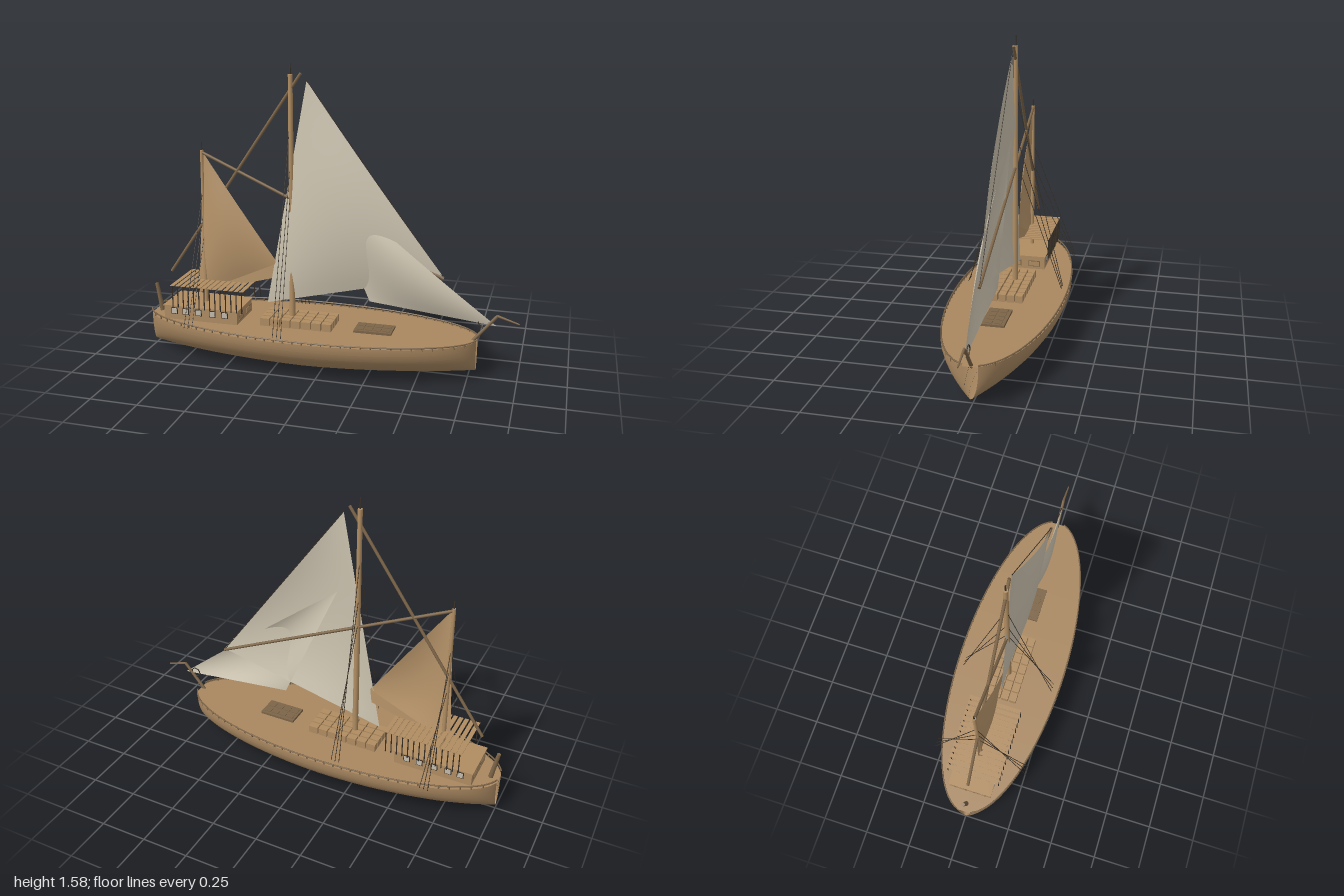
import * as THREE from 'three';

const mat = (name, color, side = THREE.FrontSide) => {
  const m = new THREE.MeshStandardMaterial({ color, side });
  m.name = name;
  return m;
};
const V = (x, y, z = 0) => new THREE.Vector3(x, y, z);

// Hull lines: s runs from -1 at the stern to 1 at the bow
const CX = -0.105, HALF = 0.895;
const hullX = s => CX + HALF * s;
const halfWidth = s => 0.305 * Math.sqrt(1 - 0.985 * s * s);
const sheerY = s => 0.21 + 0.006 * s;
const keelY = s => 0.004 + (s < 0 ? 0.026 : 0.042) * Math.pow(Math.abs(s), 1.4);

// Smooth surface from a grid of points, p(u, v) with u and v from 0 to 1
function surface(nu, nv, p) {
  const pos = [], index = [];
  for (let i = 0; i <= nu; i++)
    for (let j = 0; j <= nv; j++) {
      pos.push(...p(i / nu, j / nv).toArray());
      if (i < nu && j < nv) {
        const a = i * (nv + 1) + j, b = a + nv + 1;
        index.push(a, b, a + 1, b, b + 1, a + 1);
      }
    }
  const g = new THREE.BufferGeometry();
  g.setAttribute('position', new THREE.Float32BufferAttribute(pos, 3));
  g.setIndex(index);
  g.computeVertexNormals();
  return g;
}

// Triangular sail that bellies towards +z; its a-b edge may belly too
function sailGeometry(a, b, c, belly, edgeBelly) {
  return surface(20, 20, (u, v) => {
    const wa = 1 - u, wb = u * (1 - v), wc = u * v;
    const p = V(0, 0).addScaledVector(a, wa).addScaledVector(b, wb).addScaledVector(c, wc);
    p.z += 27 * wa * wb * wc * belly + 4 * wa * wb * edgeBelly;
    return p;
  });
}

export function createModel() {
  const model = new THREE.Group();
  model.name = 'sailingShip';
  const wood = mat('wood', 0xb08d62);
  const planking = mat('planking', 0xa88760, THREE.DoubleSide);
  const darkWood = mat('darkWood', 0x7d6548);
  const canvas = mat('paleCanvas', 0xcdc4b0, THREE.DoubleSide);
  const tanCanvas = mat('tanCanvas', 0xb8956a, THREE.DoubleSide);
  const rope = mat('rope', 0x3b3229);
  const pane = mat('windowPane', 0xc4bcae);

  const add = (name, geo, m, parent = model) => {
    const mesh = new THREE.Mesh(geo, m);
    mesh.name = name;
    parent.add(mesh);
    return mesh;
  };
  const group = name => {
    const g = new THREE.Group();
    g.name = name;
    model.add(g);
    return g;
  };
  const box = (name, w, h, d, x, y, z, m, parent) => {
    const b = add(name, new THREE.BoxGeometry(w, h, d), m, parent);
    b.position.set(x, y, z);
    return b;
  };
  // Round bar between two points
  const rod = (name, a, b, r0, r1, m, parent, sides = 10) => {
    const d = b.clone().sub(a);
    const c = add(name, new THREE.CylinderGeometry(r1, r0, d.length(), sides), m, parent);
    c.position.copy(a).addScaledVector(d, 0.5);
    c.quaternion.setFromUnitVectors(V(0, 1), d.normalize());
    return c;
  };

  // Hull: lapped strakes running from rail to rail, open at both narrow ends
  const hull = group('hull');
  const strakes = 16;
  for (let k = 0; k < strakes; k++) {
    const upper = k < strakes / 2 ? 0 : 1;
    add('strake', surface(48, 4, (u, v) => {
      const s = -Math.cos(Math.PI * u);
      const t = Math.PI * (k + v) / strakes;
      const lap = 1 + 0.01 * (upper ? 1 - v : v);
      const depth = sheerY(s) - keelY(s);
      return V(hullX(s), sheerY(s) - depth * Math.sin(t), halfWidth(s) * lap * Math.cos(t));
    }), planking, hull);
  }
  add('deck', surface(48, 2, (u, v) => {
    const s = -Math.cos(Math.PI * u);
    return V(hullX(s), sheerY(s) - 0.006, halfWidth(s) * 0.99 * (1 - 2 * v));
  }), planking, hull);

  // Rails and their short posts
  const rails = group('rails');
  for (const side of [-1, 1]) {
    const pts = [];
    for (let i = 0; i <= 40; i++) {
      const s = -Math.cos(Math.PI * i / 40);
      pts.push(V(hullX(s), 0.221, side * halfWidth(s) * 0.985));
    }
    add('rail', new THREE.TubeGeometry(new THREE.CatmullRomCurve3(pts), 80, 0.004, 6), darkWood, rails);
    for (let i = 1; i < 36; i++) {
      const s = -1 + i / 18;
      box('railPost', 0.006, 0.018, 0.006, hullX(s), 0.212, side * halfWidth(s) * 0.985, darkWood, rails);
    }
  }

  // Masts and spars
  const rig = group('mastsAndSpars');
  rod('mainMast', V(-0.195, 0.2), V(-0.195, 1.53), 0.016, 0.012, wood, rig, 16);
  rod('mainMastTip', V(-0.195, 1.53), V(-0.195, 1.585), 0.004, 0.003, rope, rig);
  rod('mizzenMast', V(-0.69, 0.2), V(-0.688, 1.12), 0.012, 0.009, wood, rig, 16);
  rod('mizzenMastTip', V(-0.688, 1.12), V(-0.688, 1.16), 0.004, 0.003, rope, rig);
  rod('gaff', V(-0.89, 0.435), V(-0.14, 1.535), 0.008, 0.008, darkWood, rig);
  rod('longSpar', V(-0.685, 1.107), V(0.61, 0.522), 0.008, 0.008, darkWood, rig);
  rod('sternPost', V(-0.957, 0.2), V(-0.985, 0.355), 0.013, 0.01, darkWood, rig);
  rod('bowsprit', V(0.765, 0.2), V(0.888, 0.35), 0.009, 0.008, darkWood, rig);
  rod('bowspritTip', V(0.885, 0.35), V(0.998, 0.315), 0.007, 0.004, darkWood, rig);
  add('bowspritRing', new THREE.TorusGeometry(0.026, 0.003, 8, 28), rope, rig).position.set(0.82, 0.307, 0);

  // Sails
  const sails = group('sails');
  add('mainSail', sailGeometry(V(-0.11, 1.5), V(0.61, 0.53), V(-0.335, 0.305), 0.045, 0.022), canvas, sails);
  add('jib', sailGeometry(V(-0.08, 1.06), V(0.885, 0.295), V(0.227, 0.364), 0.04, 0.03), canvas, sails);
  add('mizzenSail', sailGeometry(V(-0.682, 1.11), V(-0.275, 0.53), V(-0.73, 0.325), 0.03, 0.008), tanCanvas, sails);
  add('mizzenSailFoot', sailGeometry(V(-0.275, 0.53), V(-0.285, 0.45), V(-0.73, 0.325), 0, 0), tanCanvas, sails);

  // Shrouds and stay
  const lines = group('rigging');
  for (const [x, tops] of [[-0.2, [1.28, 1.07, 0.93]], [-0.69, [0.9, 0.78, 0.66]]])
    for (const side of [-1, 1])
      tops.forEach((y, i) =>
        rod('shroud', V(x + (i - 1) * 0.022, 0.215, side * 0.262), V(x, y), 0.0018, 0.0018, rope, lines, 5));
  rod('mainStay', V(-0.11, 1.5), V(0.61, 0.525), 0.002, 0.002, rope, lines, 5);

  // Cabin with side and end windows
  const cabin = group('cabin');
  box('cabinBody', 0.42, 0.075, 0.23, -0.68, 0.238, 0, wood, cabin);
  box('cabinRoof', 0.43, 0.006, 0.24, -0.68, 0.276, 0, wood, cabin);
  for (const side of [-1, 1]) {
    for (const x of [-0.83, -0.765, -0.69, -0.61, -0.54]) {
      box('windowFrame', 0.036, 0.036, 0.004, x, 0.25, side * 0.116, rope, cabin);
      box('window', 0.028, 0.028, 0.006, x, 0.25, side * 0.117, pane, cabin);
    }
    for (const z of [-0.055, 0.055]) {
      box('endWindowFrame', 0.004, 0.034, 0.068, -0.68 + side * 0.211, 0.234, z, darkWood, cabin);
      box('endWindow', 0.006, 0.026, 0.06, -0.68 + side * 0.211, 0.234, z, wood, cabin);
    }
  }

  // Slatted awning on thin posts
  const awning = group('awning');
  for (let i = 0; i < 14; i++) {
    const x = -0.825 + i * 0.0303;
    box('slat', 0.022, 0.003, 0.29, x, 0.402, 0, wood, awning);
    for (const side of [-1, 1])
      rod('awningPost', V(x, 0.28, side * 0.143), V(x, 0.401, side * 0.143), 0.003, 0.003, rope, awning, 6);
  }

  // Deck cargo in rows, and the fore hatch
  const cargo = group('cargo');
  for (let i = 0; i < 7; i++)
    for (let j = 0; j < 4; j++)
      box('crate', 0.05, 0.042, 0.038, -0.324 + i * 0.0565, 0.224, (j - 1.5) * 0.046, wood, cargo);
  box('foreHatch', 0.2, 0.014, 0.12, 0.255, 0.212, 0, darkWood);
  for (let i = 0; i < 4; i++)
    for (const z of [-0.025, 0.025])
      box('hatchPanel', 0.036, 0.004, 0.036, 0.186 + i * 0.046, 0.22, z, darkWood);

  return model;
}
